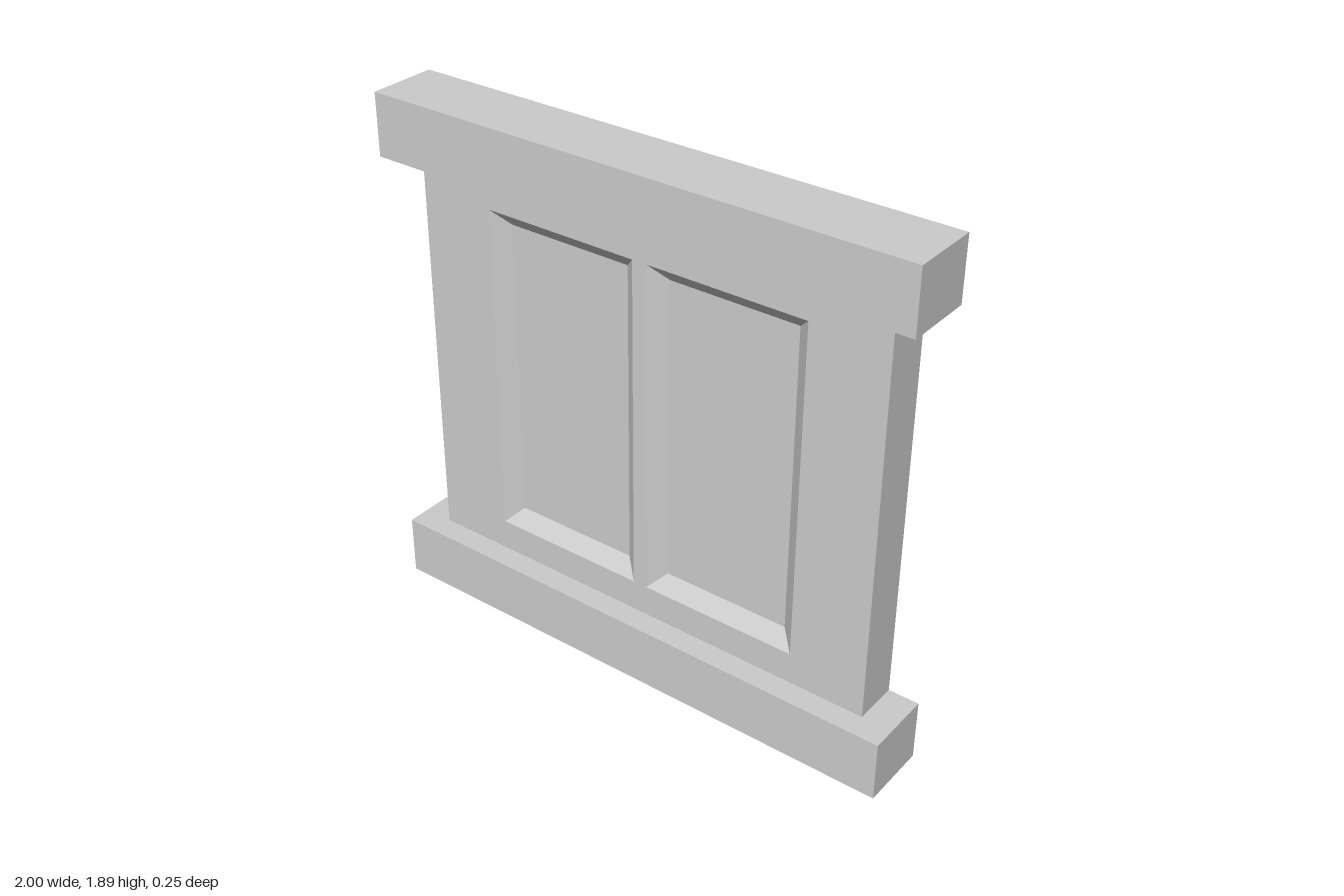
import * as THREE from 'three';

const HEIGHT = 1.89, RAIL_H = 0.222, DEPTH = 0.125, PANEL_Z = 0.04, PANEL_X = 0.89;
const material = new THREE.MeshStandardMaterial({ color: 0xcccccc, side: THREE.DoubleSide });

function part(name, geometry) {
  const mesh = new THREE.Mesh(geometry, material);
  mesh.name = name;
  return mesh;
}

// Flat four-sided faces, corners anticlockwise seen from outside
function quads(list) {
  const pos = list.flatMap(([a, b, c, d]) => [a, b, c, a, c, d].flat());
  const g = new THREE.BufferGeometry();
  g.setAttribute('position', new THREE.Float32BufferAttribute(pos, 3));
  g.computeVertexNormals();
  return g;
}

// Corners of an upright rectangle, anticlockwise from lower left
const rect = (x0, x1, y0, y1, z) => [[x0, y0, z], [x1, y0, z], [x1, y1, z], [x0, y1, z]];

// Rail shell, open at the back, with a notched underside; origin at its middle
function rail(name) {
  const group = new THREE.Group();
  group.name = name;
  const h = RAIL_H / 2;
  const f = rect(-1, 1, -h, h, DEPTH), b = rect(-1, 1, -h, h, -DEPTH);
  group.add(part(name + 'Shell', quads([
    f,
    [f[3], f[2], b[2], b[3]],
    [f[1], b[1], b[2], f[2]],
    [b[0], f[0], f[3], b[3]],
  ])));

  const outline = [[-1, -DEPTH], [-0.72, -DEPTH], [-0.72, PANEL_Z], [0.72, PANEL_Z],
    [0.72, -DEPTH], [1, -DEPTH], [1, DEPTH], [-1, DEPTH]];
  const ledge = new THREE.ShapeGeometry(new THREE.Shape(outline.map(p => new THREE.Vector2(...p))));
  ledge.rotateX(Math.PI / 2).translate(0, -h, 0);
  group.add(part(name + 'Ledge', ledge));
  return group;
}

export function createModel() {
  const model = new THREE.Group();
  model.name = 'panelSection';

  // Rails: the lower one is the upper one turned over
  const topRail = rail('topRail');
  topRail.position.y = HEIGHT - RAIL_H / 2;
  const bottomRail = rail('bottomRail');
  bottomRail.position.y = RAIL_H / 2;
  bottomRail.rotation.z = Math.PI;
  model.add(topRail, bottomRail);

  // Face sheet with two openings
  const y0 = RAIL_H, y1 = HEIGHT - RAIL_H;
  const toPoints = r => r.map(p => new THREE.Vector2(p[0], p[1]));
  const face = new THREE.Shape(toPoints(rect(-PANEL_X, PANEL_X, y0, y1, 0)));
  const bevel = 0.055, sunk = 0.048;
  for (const [name, x0, x1] of [['rightRecess', -0.61, -0.027], ['leftRecess', 0.027, 0.61]]) {
    const outer = rect(x0, x1, 0.337, 1.558, PANEL_Z);
    const inner = rect(x0 + bevel, x1 - bevel, 0.337 + bevel, 1.558 - bevel, PANEL_Z - sunk);
    face.holes.push(new THREE.Path(toPoints(outer)));
    // Sloping border and sunken floor
    const slopes = outer.map((p, i) => [p, outer[(i + 1) % 4], inner[(i + 1) % 4], inner[i]]);
    model.add(part(name, quads([...slopes, inner])));
  }
  model.add(part('facePanel', new THREE.ShapeGeometry(face).translate(0, 0, PANEL_Z)));

  // Side returns running back from the face
  const f = rect(-PANEL_X, PANEL_X, y0, y1, PANEL_Z), b = rect(-PANEL_X, PANEL_X, y0, y1, -DEPTH);
  model.add(part('leftSide', quads([[f[1], b[1], b[2], f[2]]])));
  model.add(part('rightSide', quads([[b[0], f[0], f[3], b[3]]])));
  return model;
}
